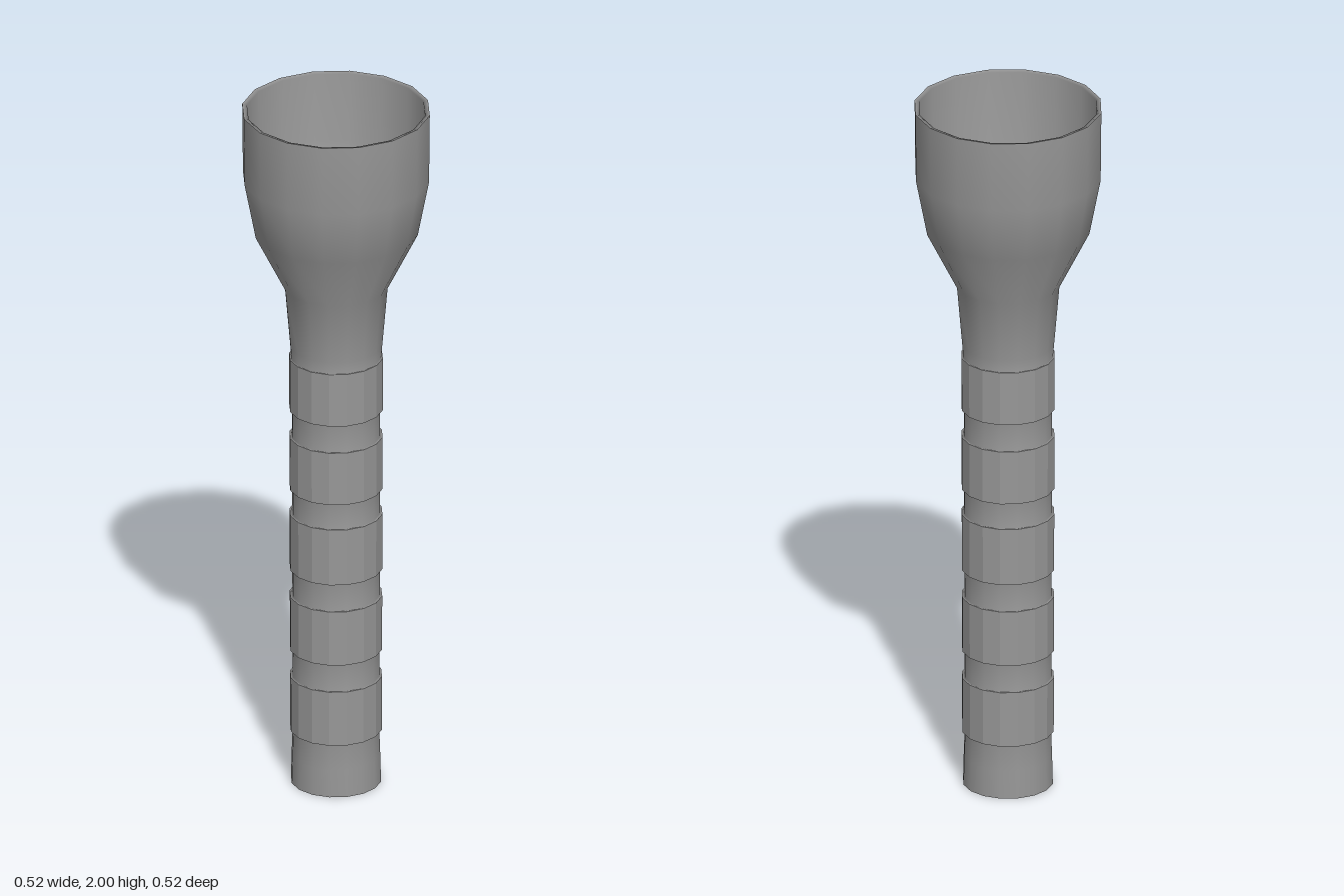
import * as THREE from 'three';

export function createModel() {
  const group = new THREE.Group();
  const color = 0x979797;
  const smooth = new THREE.MeshStandardMaterial({ color, side: THREE.DoubleSide });
  const flat = new THREE.MeshStandardMaterial({ color, side: THREE.DoubleSide, flatShading: true });

  // Turned part from [radius, height] points, listed with the outside on the right
  const turned = (name, profile, material = smooth, sides = 16, start = 0) => {
    const points = profile.map(([r, y]) => new THREE.Vector2(r, y));
    const mesh = new THREE.Mesh(new THREE.LatheGeometry(points, sides, start), material);
    mesh.name = name;
    group.add(mesh);
  };

  // The handle widens slightly towards the head; grooves are cut a little deeper
  const gripRadius = (y) => 0.126 + 0.003 * (y / 1.265);
  const step = 0.007;

  // Raised faceted grip bands, each with a square-stepped, softly shaded groove above it
  const bands = [[0.155, 0.315], [0.395, 0.555], [0.635, 0.8], [0.875, 1.03], [1.11, 1.265]];
  bands.forEach(([bottom, top], i) => {
    turned(`gripBand${i + 1}`, [[gripRadius(bottom), bottom], [gripRadius(top), top]], flat);
    if (i === bands.length - 1) return;
    const next = bands[i + 1][0];
    turned(`gripGroove${i + 1}`, [
      [gripRadius(top), top], [gripRadius(top) - step, top],
      [gripRadius(next) - step, next], [gripRadius(next), next],
    ]);
  });

  // Open lower end of the hollow handle
  turned('handleEnd', [
    [0.124, 0], [0.122, 0.08], [gripRadius(0.155) - step, 0.155], [gripRadius(0.155), 0.155],
  ]);

  // Flared head: outer wall, then the rim rolling into the hollow reflector
  turned('headShell', [
    [gripRadius(1.265), 1.265], [0.124, 1.265], [0.127, 1.3], [0.142, 1.475],
    [0.225, 1.64], [0.256, 1.8], [0.258, 2],
  ]);
  turned('reflector', [
    [0.258, 2], [0.245, 1.997], [0.24, 1.8], [0.205, 1.65],
    [0.125, 1.51], [0.03, 1.475], [0, 1.475],
  ]);

  // Small pointed bulb in the reflector
  turned('bulb', [[0.025, 1.47], [0.04, 1.53], [0, 1.6]], smooth, 9, -Math.PI / 2);

  return group;
}
